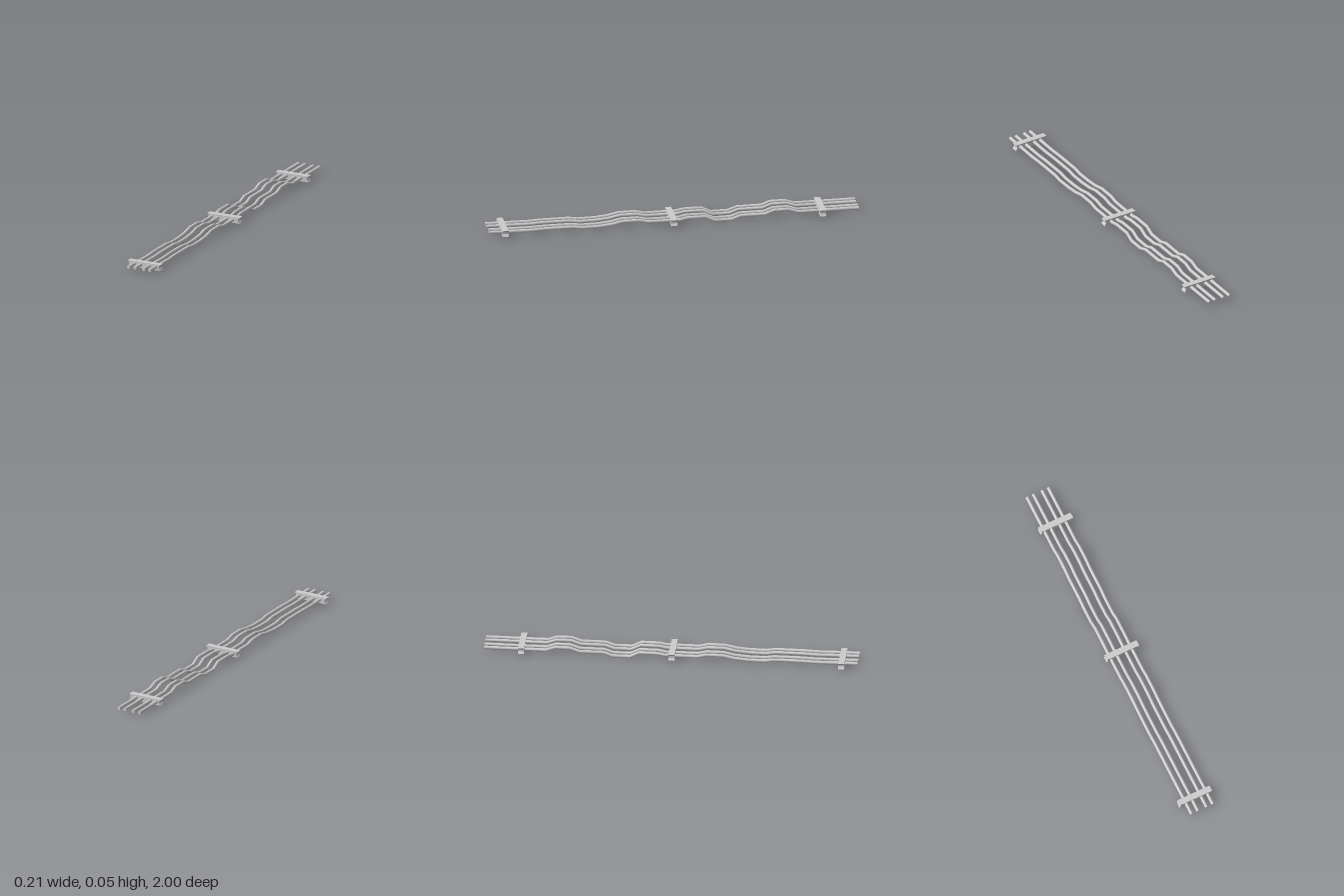
import * as THREE from 'three';

const material = new THREE.MeshStandardMaterial({ color: 0xcccccc });
const PIPE_RADIUS = 0.009;

// Centre line shared by all pipes: [z, y]
const PATH = [
  [1, 0.026], [0.9, 0.025], [0.78, 0.023], [0.7, 0.026], [0.55, 0.026],
  [0.5, 0.018], [0.41, 0.019], [0.34, 0.025], [0.28, 0.038], [0.19, 0.038],
  [0.14, 0.026], [-0.03, 0.026], [-0.07, 0.034], [-0.17, 0.034],
  [-0.22, 0.009], [-0.31, 0.009], [-0.36, 0.026], [-0.49, 0.026],
  [-0.54, 0.044], [-0.62, 0.044], [-0.67, 0.026], [-1, 0.026],
];

// A cylinder whose rings are moved onto the points of the path
function pipeGeometry() {
  const spans = PATH.length - 1;
  const geometry = new THREE.CylinderGeometry(PIPE_RADIUS, PIPE_RADIUS, 1, 12, spans);
  geometry.rotateX(Math.PI / 2);
  const p = geometry.attributes.position;
  for (let i = 0; i < p.count; i++) {
    const ring = Math.round((0.5 - p.getZ(i)) * spans);
    const [z, y] = PATH[ring];
    p.setXYZ(i, p.getX(i), p.getY(i) + y, z);
  }
  geometry.computeVertexNormals();
  return geometry;
}

// A bar with a shallow notch in each end
function clampGeometry() {
  const halfWidth = 0.097, low = -0.0165, high = 0.0165, depth = 0.033;
  const shape = new THREE.Shape();
  shape.moveTo(-halfWidth, low);
  shape.lineTo(halfWidth, low);
  shape.lineTo(halfWidth - 0.009, -0.004);
  shape.lineTo(halfWidth - 0.009, 0.006);
  shape.lineTo(halfWidth, high);
  shape.lineTo(-halfWidth, high);
  shape.lineTo(-halfWidth + 0.009, 0.006);
  shape.lineTo(-halfWidth + 0.009, -0.004);
  shape.closePath();
  const geometry = new THREE.ExtrudeGeometry(shape, { depth, bevelEnabled: false });
  geometry.translate(0, 0, -depth / 2);
  return geometry;
}

export function createModel() {
  const group = new THREE.Group();
  group.name = 'pipeRun';

  // Four parallel bent pipes
  const pipe = pipeGeometry();
  [-0.066, -0.028, 0.023, 0.06].forEach((x, i) => {
    const mesh = new THREE.Mesh(pipe, material);
    mesh.name = `pipe${i + 1}`;
    mesh.position.x = x;
    group.add(mesh);
  });

  // Clamps holding the pipes together: [name, x, y, z]
  const clamp = clampGeometry();
  [
    ['frontClamp', -0.009, 0.023, 0.915],
    ['middleClamp', 0.004, 0.025, 0.005],
    ['rearClamp', 0.006, 0.024, -0.8],
  ].forEach(([name, x, y, z]) => {
    const mesh = new THREE.Mesh(clamp, material);
    mesh.name = name;
    mesh.position.set(x, y, z);
    group.add(mesh);
  });

  return group;
}
